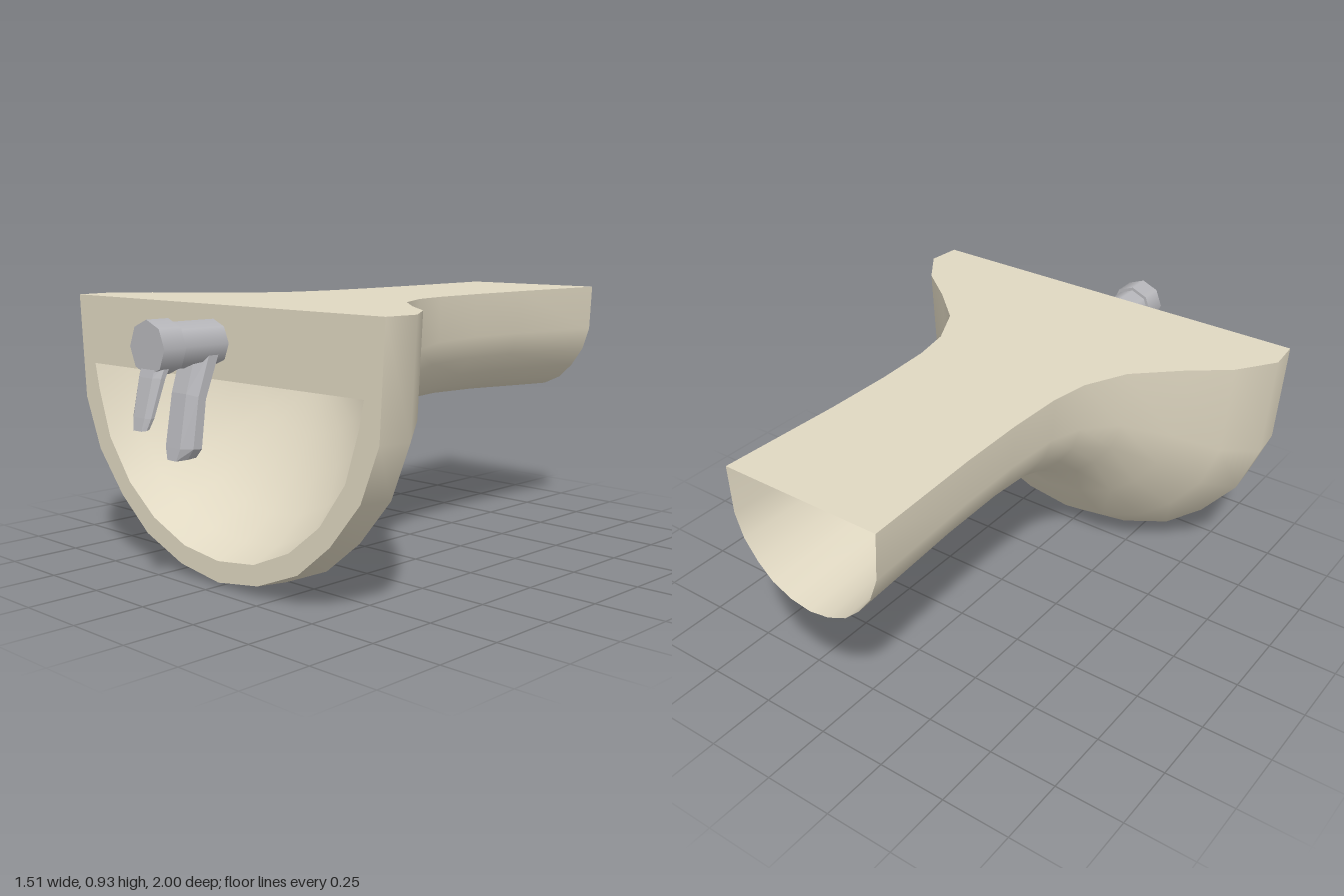
import * as THREE from 'three';

const V = (x, y, z) => new THREE.Vector3(x, y, z);
const TOP = 0.93, FRONT = 0.695, BOWL_TOP = 0.69;

// Half of the U-shaped cross-section: [width fraction, depth fraction]
const HALF = [[1, 0], [0.97, 0.4], [0.87, 0.6], [0.7, 0.765], [0.51, 0.89], [0.26, 0.97]];
const SECTION = [...HALF.map(([u, v]) => [-u, v]), [0, 1], ...HALF.slice().reverse()];

// Half of the bowl's cross-section, a little rounder
const BOWL_HALF = [[1, 0], [0.97, 0.15], [0.885, 0.43], [0.72, 0.675], [0.515, 0.85], [0.265, 0.965]];
const BOWL_SECTION = [...BOWL_HALF.map(([u, v]) => [-u, v]), [0, 1], ...BOWL_HALF.slice().reverse()];

// Stations from front to back: [z, half width, bottom y]
const BODY = [
  [FRONT, 0.745, 0.017], [0.575, 0.756, 0.005], [0.44, 0.66, 0.105], [0.33, 0.52, 0.265],
  [0.2, 0.38, 0.412], [0.05, 0.305, 0.492], [-0.09, 0.28, 0.532], [-0.3, 0.272, 0.541],
  [-0.55, 0.275, 0.535], [-1, 0.295, 0.513],
];
const BOWL = [
  [FRONT, 0.662, 0.09], [0.58, 0.63, 0.13], [0.46, 0.54, 0.21], [0.36, 0.42, 0.33],
  [0.28, 0.29, 0.46], [0.225, 0.15, 0.59], [0.2, 0, BOWL_TOP],
];

// Skin between rings of equal point count
function loft(rings, flip = false) {
  const n = rings[0].length, index = [];
  for (let i = 0; i < rings.length - 1; i++) {
    for (let j = 0; j < n - 1; j++) {
      const a = i * n + j, b = a + 1, d = a + n, c = d + 1;
      index.push(...(flip ? [a, b, d, b, c, d] : [a, d, b, b, d, c]));
    }
  }
  const geo = new THREE.BufferGeometry().setFromPoints(rings.flat());
  geo.setIndex(index);
  geo.computeVertexNormals();
  return geo;
}

const uRing = (section, top) => ([z, w, bottom]) =>
  section.map(([u, v]) => V(u * w, top + (bottom - top) * v, z));
const flatRing = (y) => ([z, w]) => [V(-w, y, z), V(w, y, z)];

// Faceted lever; rows from top to tip: [back y, back z, front y, front z, half width]
function leverGeometry(rows) {
  const rings = rows.map(([yb, zb, yf, zf, w]) => {
    const ym = (yb + yf) / 2, zm = (zb + zf) / 2;
    return [
      V(-0.6 * w, yf, zf), V(0.6 * w, yf, zf), V(w, ym, zm), V(w, yb, zb),
      V(-w, yb, zb), V(-w, ym, zm), V(-0.6 * w, yf, zf),
    ];
  });
  // Close both ends
  const cap = (ring) => {
    const c = V(0, 0, 0);
    ring.slice(0, 6).forEach((p) => c.addScaledVector(p, 1 / 6));
    return ring.map(() => c.clone());
  };
  return loft([cap(rings[0]), ...rings, cap(rings[rings.length - 1])]);
}

export function createModel() {
  const model = new THREE.Group();
  const ceramic = new THREE.MeshStandardMaterial({ color: 0xe0d8c2, side: THREE.DoubleSide });
  const metal = new THREE.MeshStandardMaterial({ color: 0xb8b8bc });
  const facetedMetal = new THREE.MeshStandardMaterial({ color: 0xb8b8bc, flatShading: true });

  const add = (parent, name, geometry, material) => {
    const mesh = new THREE.Mesh(geometry, material);
    mesh.name = name;
    parent.add(mesh);
    return mesh;
  };

  // Basin with its hollow neck, open at the back
  const basin = new THREE.Group();
  basin.name = 'basin';
  model.add(basin);
  add(basin, 'outerShell', loft(BODY.map(uRing(SECTION, TOP))), ceramic);
  add(basin, 'flatTop', loft(BODY.map(flatRing(TOP)), true), ceramic);

  // Front face with the bowl opening cut out
  const outline = (section, top, station) =>
    uRing(section, top)(station).map((p) => new THREE.Vector2(p.x, p.y));
  const face = new THREE.Shape(outline(SECTION, TOP, BODY[0]));
  face.holes.push(new THREE.Path(outline(BOWL_SECTION, BOWL_TOP, BOWL[0])));
  add(basin, 'frontFace', new THREE.ShapeGeometry(face), ceramic).position.z = FRONT;

  // Recessed bowl
  add(basin, 'bowl', loft(BOWL.map(uRing(BOWL_SECTION, BOWL_TOP)), true), ceramic);
  add(basin, 'bowlCeiling', loft(BOWL.map(flatRing(BOWL_TOP))), ceramic);

  // Tap: stem, cap, spout and push lever
  const tap = new THREE.Group();
  tap.name = 'tap';
  model.add(tap);
  const barrel = (name, radius, z0, z1, sides) => {
    const geo = new THREE.CylinderGeometry(radius, radius, z1 - z0, sides).rotateX(Math.PI / 2);
    add(tap, name, geo, metal).position.set(0, 0.81, (z0 + z1) / 2);
  };
  barrel('stem', 0.074, 0.68, 0.88, 8);
  barrel('cap', 0.086, 0.872, 0.955, 8);

  add(tap, 'spout', leverGeometry([
    [0.78, 0.725, 0.78, 0.8, 0.06],
    [0.64, 0.78, 0.66, 0.838, 0.06],
    [0.485, 0.8, 0.49, 0.867, 0.06],
    [0.455, 0.804, 0.45, 0.873, 0.036],
  ]), facetedMetal);
  add(tap, 'lever', leverGeometry([
    [0.76, 0.91, 0.76, 0.95, 0.056],
    [0.72, 0.93, 0.72, 0.963, 0.055],
    [0.6, 0.968, 0.6, 0.992, 0.045],
    [0.565, 0.98, 0.56, 1, 0.034],
  ]), facetedMetal);

  return model;
}
